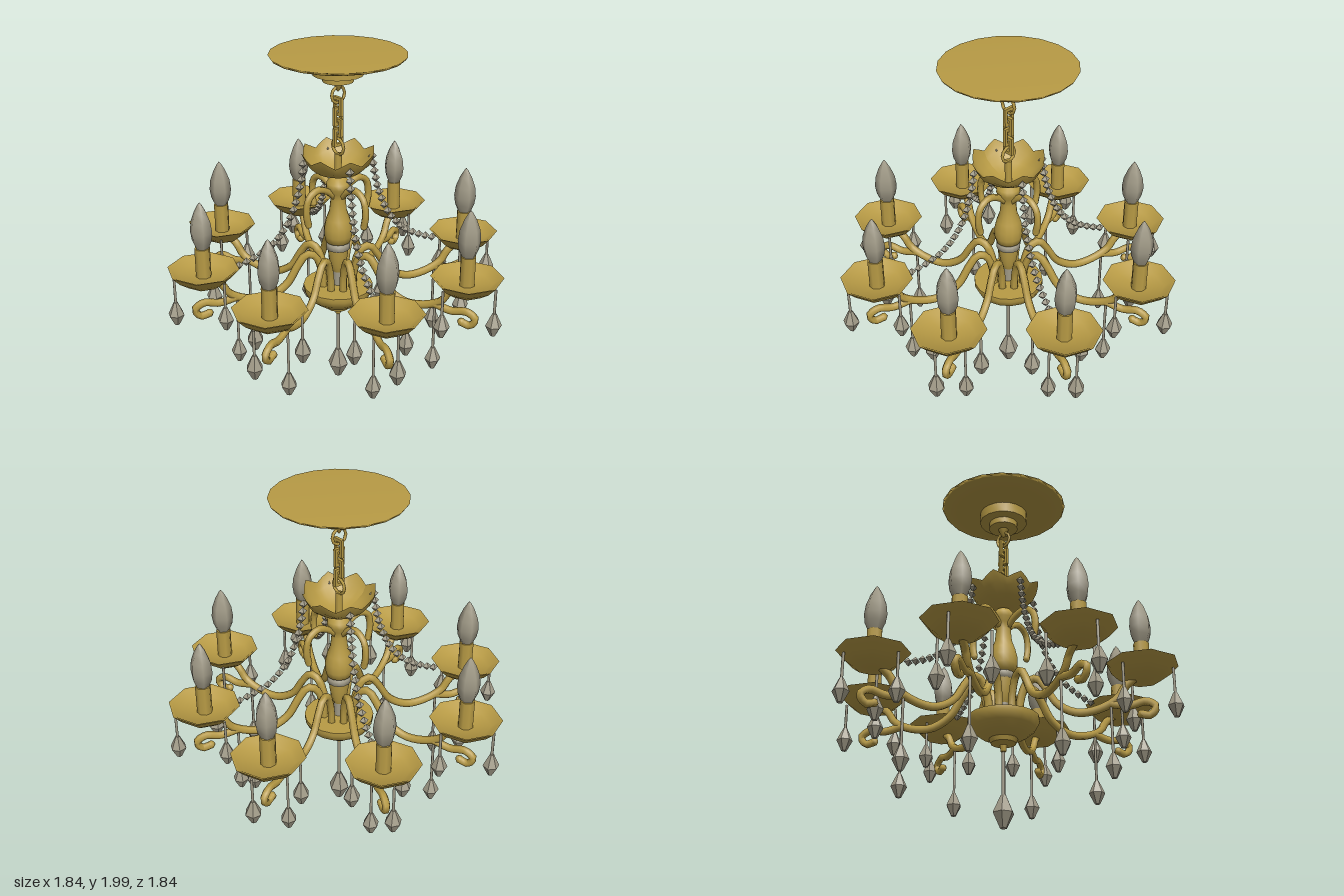
import * as THREE from 'three';
import { toCreasedNormals } from 'three/addons/utils/BufferGeometryUtils.js';

const brass = new THREE.MeshStandardMaterial({ color: 0xb89b45, side: THREE.DoubleSide });
brass.name = 'brass';
const crystal = new THREE.MeshStandardMaterial({ color: 0xa09a87, side: THREE.DoubleSide });
crystal.name = 'crystal';

function add(parent, name, geometry, material, x = 0, y = 0, z = 0) {
  const mesh = new THREE.Mesh(geometry, material);
  mesh.name = name;
  mesh.position.set(x, y, z);
  parent.add(mesh);
  return mesh;
}

// Profiles run from bottom to top as [radius, height]
const lathe = (points, sides, start = 0) =>
  new THREE.LatheGeometry(points.map(([r, y]) => new THREE.Vector2(r, y)), sides, start);
const creased = (points, sides, start) => toCreasedNormals(lathe(points, sides, start), 0.7);
const path = (points) => new THREE.CatmullRomCurve3(points.map(([x, y]) => new THREE.Vector3(x, y, 0)));
const tube = (points, radius, steps) => new THREE.TubeGeometry(path(points), steps, radius, 6);

// Faceted drop hanging on a thin rod; y is the drop's lower tip
function pendant(parent, name, x, y, z, rodTop, size = 1) {
  const g = new THREE.Group();
  g.name = name;
  g.position.set(x, y, z);
  parent.add(g);
  const h = 0.14 * size;
  add(g, 'drop', creased([[0, 0], [0.015 * size, 0.004], [0.046 * size, h * 0.47], [0.012 * size, h], [0, h]], 6), crystal);
  const length = rodTop - y - h;
  add(g, 'rod', new THREE.CylinderGeometry(0.008 * size, 0.008 * size, length, 6), crystal, 0, h + length / 2, 0);
}

// Rectangular chain link
function linkGeometry() {
  const rect = (s, w, h) => s.moveTo(-w, -h).lineTo(w, -h).lineTo(w, h).lineTo(-w, h).closePath();
  const shape = rect(new THREE.Shape(), 0.032, 0.052);
  shape.holes.push(rect(new THREE.Path(), 0.015, 0.035));
  return new THREE.ExtrudeGeometry(shape, { depth: 0.018, bevelEnabled: false }).translate(0, 0, -0.009);
}

function buildCeilingMount(root) {
  add(root, 'ceilingPlate', lathe([[0.14, 1.95], [0.27, 1.957], [0.36, 1.985], [0.37, 2], [0, 2]], 20), brass);
  add(root, 'ceilingCollar', creased([[0, 1.79], [0.01, 1.8], [0.03, 1.845], [0.085, 1.85], [0.085, 1.885],
    [0.14, 1.89], [0.14, 1.955]], 16), brass);
  // Chain, each link turned a quarter from the last
  const ring = new THREE.TorusGeometry(0.046, 0.009, 6, 10);
  add(root, 'upperRing', ring, brass, 0, 1.775, 0).rotation.y = Math.PI / 2;
  const link = linkGeometry();
  [1.71, 1.655, 1.59, 1.535].forEach((y, i) => {
    add(root, 'chainLink', link, brass, 0, y, 0).rotation.y = i % 2 ? Math.PI / 2 : 0;
  });
  add(root, 'lowerRing', ring, brass, 0, 1.48, 0);
}

function buildCenter(root) {
  // Upper bowl with an eight-lobed rim
  const bowl = lathe([[0.02, 1.31], [0.07, 1.32], [0.13, 1.345], [0.175, 1.385], [0.2, 1.44]], 32);
  const p = bowl.attributes.position;
  for (let i = 0; i < p.count; i++) {
    const t = Math.max(0, (p.getY(i) - 1.345) / 0.095);
    const wave = Math.cos(8 * (Math.atan2(p.getZ(i), p.getX(i)) - Math.PI / 8));
    const s = 1 + 0.04 * t * wave;
    p.setXYZ(i, p.getX(i) * s, p.getY(i) + 0.022 * t * wave, p.getZ(i) * s);
  }
  bowl.computeVertexNormals();
  add(root, 'upperBowl', bowl, brass);
  add(root, 'stem', new THREE.CylinderGeometry(0.02, 0.02, 0.16, 8), brass, 0, 1.36, 0);

  // Turned column with crystal bands
  add(root, 'column', lathe([[0.045, 0.9], [0.07, 0.91], [0.08, 0.95], [0.08, 1.0], [0.068, 1.05], [0.05, 1.1],
    [0.043, 1.17], [0.05, 1.21], [0.068, 1.24], [0.066, 1.27], [0.04, 1.3], [0, 1.31]], 14), brass);
  add(root, 'columnBand', lathe([[0.05, 0.855], [0.068, 0.865], [0.068, 0.895], [0.05, 0.91]], 14), crystal);
  add(root, 'lowerColumn', lathe([[0.03, 0.72], [0.045, 0.76], [0.055, 0.82], [0.06, 0.865]], 14), brass);
  add(root, 'columnFoot', new THREE.CylinderGeometry(0.03, 0.03, 0.12, 10), crystal, 0, 0.67, 0);

  // Lower bowl, finial and large drop
  add(root, 'lowerBowl', creased([[0, 0.43], [0.015, 0.44], [0.02, 0.475], [0.07, 0.485], [0.08, 0.51], [0.13, 0.53],
    [0.18, 0.57], [0.2, 0.61], [0.2, 0.635], [0, 0.635]], 18), brass);
  pendant(root, 'centerPendant', 0, 0.01, 0, 0.45, 1.32);

  // Four scrolls below the upper bowl
  const scroll = tube([[0.03, 1.19], [0.08, 1.235], [0.15, 1.26], [0.21, 1.225], [0.228, 1.14], [0.215, 1.07]], 0.02, 14);
  for (let i = 0; i < 4; i++) {
    const g = new THREE.Group();
    g.name = 'scroll';
    g.rotation.y = i * Math.PI / 2;
    add(g, 'scrollTube', scroll, brass);
    add(g, 'scrollTip', new THREE.SphereGeometry(0.02, 6, 4), brass, 0.215, 1.07, 0);
    root.add(g);
  }
}

function buildArms(root) {
  const R = 0.78;
  // Curved arm, its upright to the cup, and the curl at its end
  const arm = tube([[0.09, 0.62], [0.1, 0.74], [0.14, 0.835], [0.19, 0.85], [0.24, 0.79], [0.31, 0.68], [0.42, 0.62],
    [0.54, 0.63], [0.64, 0.68], [0.68, 0.74], [0.74, 0.79]], 0.023, 30);
  const curl = tube([[0.6, 0.65], [0.7, 0.63], [0.79, 0.645], [0.84, 0.61], [0.81, 0.565], [0.76, 0.575]], 0.022, 16);
  const cup = creased([[0, 0.765], [0.1, 0.77], [0.155, 0.81], [0.2, 0.86], [0.183, 0.855], [0.14, 0.82], [0, 0.81]],
    8, Math.PI / 8);
  const bulb = lathe([[0.035, 0.98], [0.056, 1.03], [0.063, 1.08], [0.056, 1.14], [0.034, 1.2], [0.012, 1.24], [0, 1.255]], 6);
  const swag = path([[0.2, 1.4], [0.215, 1.3], [0.245, 1.18], [0.3, 1.05], [0.39, 0.94], [0.49, 0.88], [0.58, 0.845]]);
  const bead = new THREE.OctahedronGeometry(0.026);

  for (let k = 0; k < 8; k++) {
    const g = new THREE.Group();
    g.name = 'arm';
    g.rotation.y = Math.PI / 8 + k * Math.PI / 4;
    root.add(g);
    add(g, 'armTube', arm, brass);
    add(g, 'armCurl', curl, brass);
    add(g, 'curlTip', new THREE.SphereGeometry(0.024, 6, 4), brass, 0.76, 0.575, 0);
    add(g, 'cup', cup, brass, R, 0, 0);
    add(g, 'candle', new THREE.CylinderGeometry(0.043, 0.043, 0.18, 8), brass, R, 0.895, 0);
    add(g, 'bulb', bulb, crystal, R, 0, 0);

    // Three short pendants under the cup and a long one under the arm
    for (let i = 0; i < 3; i++) {
      const a = i * Math.PI * 2 / 3;
      pendant(g, 'cupPendant', R + 0.165 * Math.cos(a), 0.535, 0.165 * Math.sin(a), 0.82);
    }
    pendant(g, 'armPendant', 0.6, 0.23, 0, 0.65);

    // Bead string on every other arm
    if (k % 2) {
      swag.getSpacedPoints(16).forEach((q) => add(g, 'bead', bead, crystal, q.x, q.y, q.z));
    }
  }
}

export function createModel() {
  const root = new THREE.Group();
  root.name = 'chandelier';
  buildCeilingMount(root);
  buildCenter(root);
  buildArms(root);
  return root;
}
